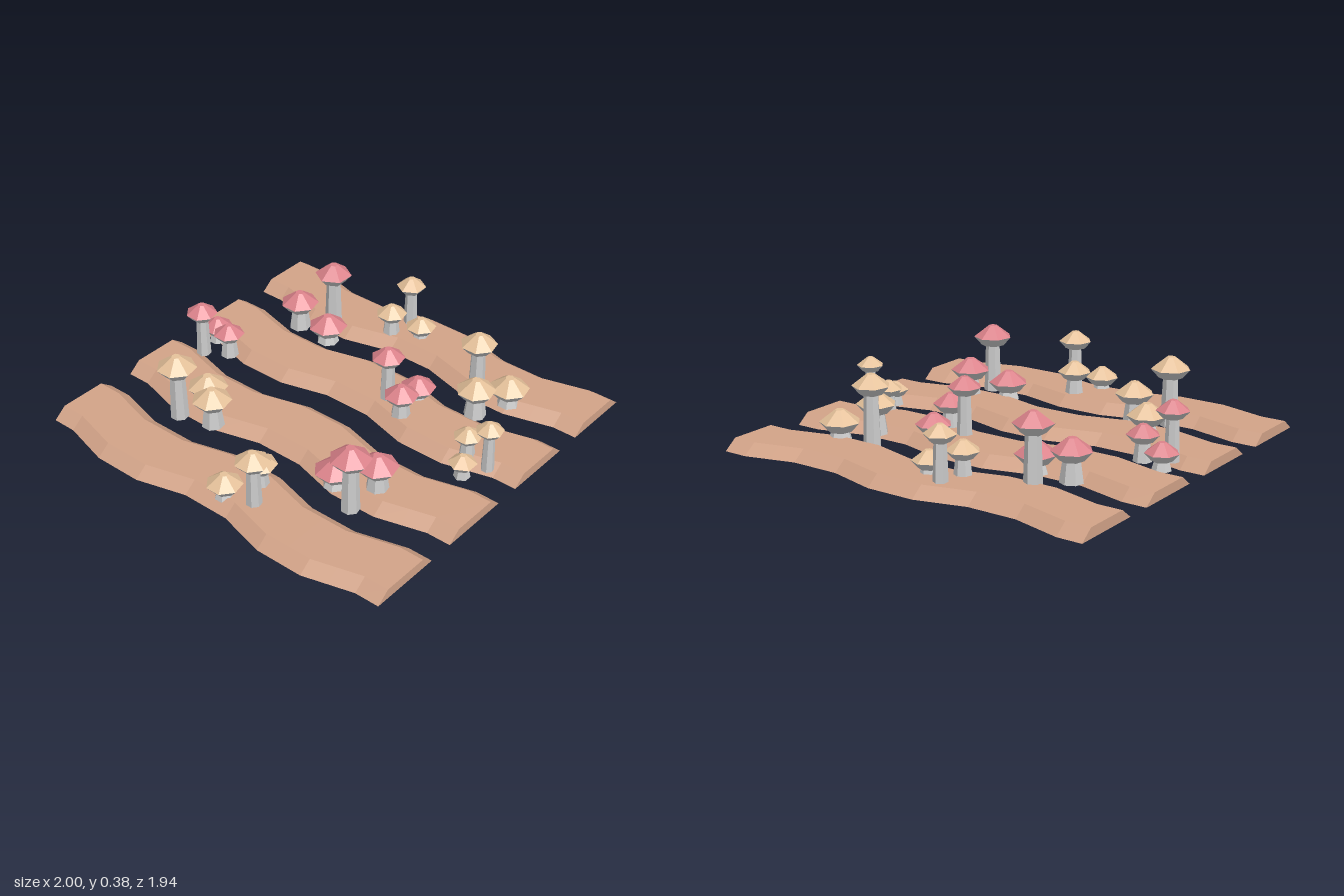
import * as THREE from 'three';

const mat = (color) => new THREE.MeshStandardMaterial({ color, flatShading: true });

// Sideways shift of a soil ridge: flat, ramp, flat, ramp, repeating once per unit of x
function wave(x) {
  const u = 0.5 - Math.abs(Math.abs(x) - 0.5);
  return 0.067 * THREE.MathUtils.clamp((u - 0.125) / 0.25, 0, 1);
}

// A box bent along the wave, with its long sides sloped
function ridgeGeometry() {
  const geo = new THREE.BoxGeometry(2, 0.05, 1, 16, 1, 1);
  const p = geo.attributes.position;
  for (let i = 0; i < p.count; i++) {
    const half = p.getY(i) > 0 ? 0.12 : 0.185;
    p.setZ(i, Math.sign(p.getZ(i)) * half + wave(p.getX(i)));
    p.setY(i, p.getY(i) + 0.025);
  }
  geo.computeVertexNormals();
  return geo;
}

// Tapered ring of n sides between heights y0 and y1
function frustum(name, rTop, rBottom, y0, y1, n, material, open = false) {
  const geo = new THREE.CylinderGeometry(rTop, rBottom, y1 - y0, n, 1, open);
  const mesh = new THREE.Mesh(geo, material);
  mesh.position.y = (y0 + y1) / 2;
  mesh.name = name;
  return mesh;
}

function createMushroom([x, z, top, r, sides = 7], capMaterial, stemMaterial, tall) {
  const g = new THREE.Group();
  g.name = 'mushroom';
  const rim = top - 0.6 * r;
  const under = rim - 0.45 * r;
  const stemTop = tall ? 0.38 : 0.43;
  const stemBottom = tall ? 0.47 : 0.58;
  g.add(frustum('cap', 0.22 * r, r, rim, top, sides, capMaterial));
  g.add(frustum('capUnderside', r, 0.6 * r, under, rim, sides, stemMaterial));
  g.add(frustum('stem', stemTop * r, stemBottom * r, 0.028, under, sides, stemMaterial));
  g.position.set(x, 0, z);
  g.rotation.y = Math.PI;
  return g;
}

export function createModel() {
  const model = new THREE.Group();
  model.name = 'mushroomField';
  const soil = mat(0xd2a388);
  const stem = mat(0xcccccc);
  const beige = mat(0xe6c29b);
  const red = mat(0xdc838b);

  // Four parallel soil ridges
  const ridge = ridgeGeometry();
  for (let i = 0; i < 4; i++) {
    const mesh = new THREE.Mesh(ridge, soil);
    mesh.name = 'soilRidge';
    mesh.position.z = -0.785 + 0.5 * i;
    model.add(mesh);
  }

  // Clusters of three: tall, middle, short, each as x, z, top height, cap radius, sides
  const clusters = [
    [beige, [-0.17, -0.826, 0.315, 0.077, 6], [-0.19, -0.69, 0.21, 0.08], [-0.05, -0.757, 0.155, 0.08]],
    [red, [-0.5, -0.596, 0.375, 0.095, 6], [-0.605, -0.45, 0.235, 0.098], [-0.407, -0.44, 0.18, 0.1]],
    [beige, [0.445, -0.56, 0.375, 0.092], [0.545, -0.41, 0.235, 0.098], [0.617, -0.59, 0.18, 0.1]],
    [red, [0.15, -0.23, 0.335, 0.083], [0.285, -0.163, 0.215, 0.087], [0.26, -0.33, 0.16, 0.09]],
    [beige, [0.835, -0.11, 0.295, 0.068], [0.71, -0.12, 0.195, 0.07], [0.776, 0.008, 0.15, 0.07, 6]],
    [red, [-0.82, 0.05, 0.32, 0.08], [-0.71, -0.024, 0.205, 0.08], [-0.845, -0.083, 0.16, 0.082]],
    [beige, [-0.54, 0.51, 0.375, 0.098], [-0.37, 0.457, 0.235, 0.098], [-0.515, 0.335, 0.18, 0.1]],
    [red, [0.53, 0.515, 0.375, 0.098], [0.545, 0.34, 0.235, 0.1], [0.37, 0.43, 0.175, 0.1]],
    [beige, [0.19, 0.78, 0.338, 0.085], [0.115, 0.66, 0.213, 0.087], [0.045, 0.815, 0.16, 0.087]],
  ];
  for (const [cap, ...members] of clusters) {
    const cluster = new THREE.Group();
    cluster.name = 'mushroomCluster';
    members.forEach((m, i) => cluster.add(createMushroom(m, cap, stem, i === 0)));
    model.add(cluster);
  }
  return model;
}
